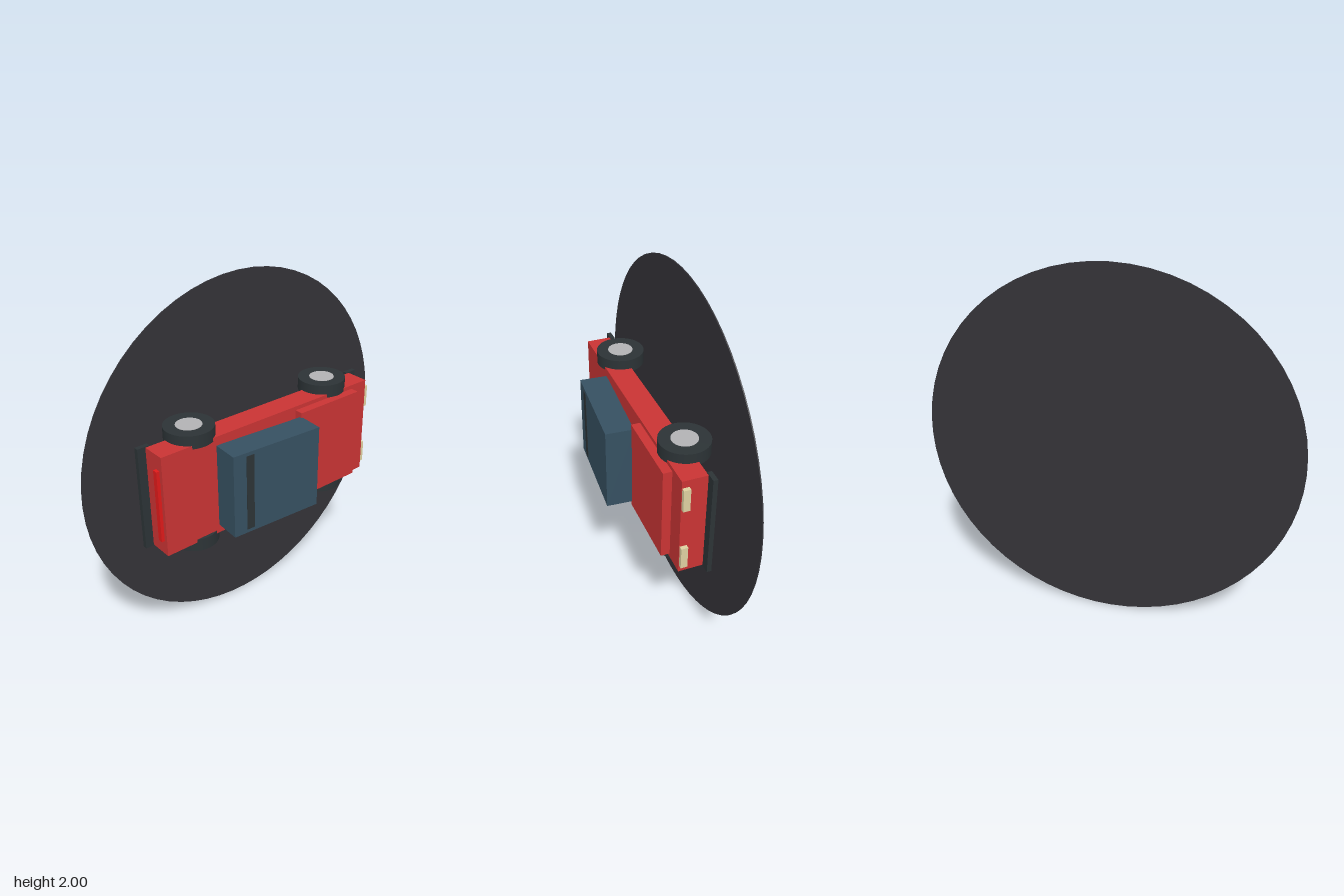
import * as THREE from 'three';

const mat = (color) => new THREE.MeshStandardMaterial({ color });

export function createModel() {
  const model = new THREE.Group();
  const red = mat(0xc93434), dark = mat(0x2c3336), glass = mat(0x365061);
  const cream = mat(0xddd0a0), tailRed = mat(0xe01a1a), metal = mat(0xb2b2b4);

  const add = (name, geometry, material, x, y, z, parent = model) => {
    const mesh = new THREE.Mesh(geometry, material);
    mesh.name = name;
    mesh.position.set(x, y, z);
    parent.add(mesh);
    return mesh;
  };
  const box = (w, h, d) => new THREE.BoxGeometry(w, h, d);

  // Round base standing upright behind the car
  add('baseDisc', new THREE.CylinderGeometry(1, 1, 0.006, 64).rotateX(Math.PI / 2), mat(0x343338), 0, 1, -0.232);

  // The car's roof points to +z and its nose to +x
  const car = new THREE.Group();
  car.name = 'car';
  car.position.y = 1;
  model.add(car);

  add('body', box(1.395, 0.575, 0.134), red, -0.002, 0.003, -0.027, car);
  add('hood', box(0.425, 0.53, 0.05), red, 0.372, 0.003, 0.063, car);

  // Tilted cabin with a dark strip across its roof
  const cabin = new THREE.Group();
  cabin.name = 'cabin';
  cabin.position.set(-0.107, 0.003, 0.132);
  cabin.rotation.y = -0.07;
  car.add(cabin);
  add('cabinBlock', box(0.541, 0.475, 0.152), glass, 0, 0, 0, cabin);
  add('roofStrip', box(0.046, 0.435, 0.01), dark, -0.17, 0, 0.073, cabin);

  // Bumpers at both ends
  for (const s of [1, -1])
    add(s > 0 ? 'frontBumper' : 'rearBumper', box(0.07, 0.585, 0.025), dark, s * 0.711, 0.003, -0.106, car);

  // Lights
  for (const s of [1, -1])
    add('headlight', box(0.03, 0.128, 0.036), cream, 0.702, 0.003 + s * 0.183, 0.019, car);
  add('tailLight', box(0.03, 0.41, 0.028), tailRed, -0.702, 0.003, 0.004, car);

  // Four wheels with hubs, axles along y
  for (const x of [-0.454, 0.456]) {
    for (const s of [1, -1]) {
      const wheel = new THREE.Group();
      wheel.name = 'wheel';
      wheel.position.set(x, 0.003 + s * 0.305, -0.075);
      car.add(wheel);
      add('tyre', new THREE.CylinderGeometry(0.132, 0.132, 0.072, 32), dark, 0, 0, 0, wheel);
      add('hub', new THREE.CylinderGeometry(0.069, 0.069, 0.076, 24), metal, 0, 0, 0, wheel);
    }
  }
  return model;
}
